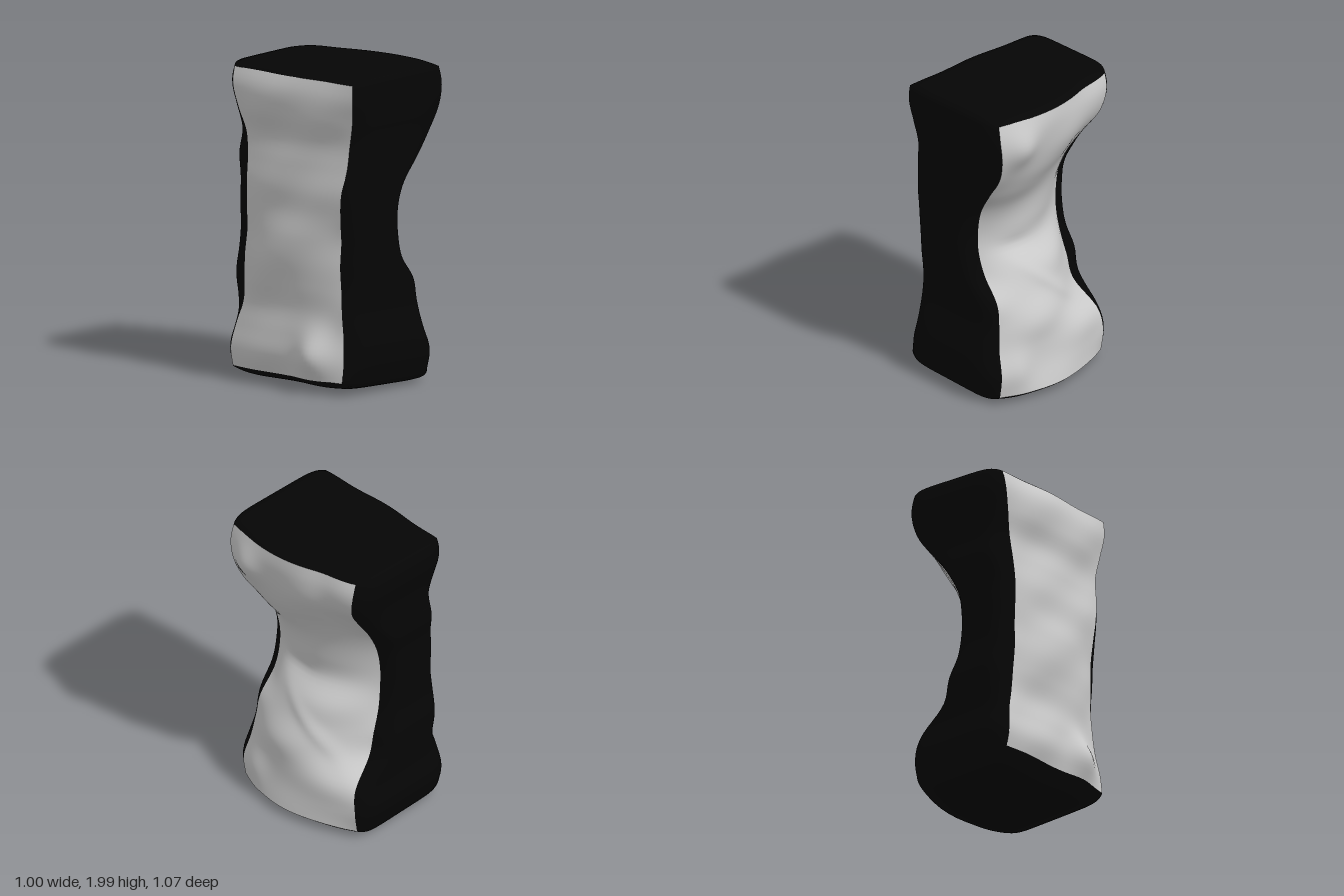
import * as THREE from 'three';
import { mergeVertices } from 'three/addons/utils/BufferGeometryUtils.js';

const NY = 64, NZ = 36;
const { lerp } = THREE.MathUtils;

// Smooth curve through values spaced evenly (0.15) up the height, from y = 0.05
function heightCurve(...values) {
  const ys = values.map((_, i) => 0.05 + i * 0.15);
  const c = new THREE.CubicInterpolant(ys, values, 1);
  return y => c.evaluate(y)[0];
}

// Depth of the side edges, and of the wrap's outermost surface, front and back
const edgeFront = heightCurve(.44, .44, .42, .40, .39, .385, .39, .395, .41, .44, .45, .48, .50, .49);
const edgeBack = heightCurve(-.46, -.46, -.435, -.39, -.38, -.37, -.36, -.36, -.36, -.365, -.385, -.43, -.465, -.47);
const wrapFront = heightCurve(.50, .53, .505, .46, .465, .475, .485, .48, .48, .48, .49, .515, .54, .555);
const wrapBack = heightCurve(-.51, -.54, -.50, -.505, -.515, -.48, -.47, -.47, -.47, -.505, -.49, -.51, -.55, -.545);

// Side outlines at the back, middle and front of each exposed face
const notched = [
  heightCurve(.30, .32, .29, .13, .08, .03, .005, .005, .035, .11, .22, .32, .345, .31),
  heightCurve(.45, .42, .41, .385, .32, .28, .185, .19, .225, .30, .38, .44, .46, .44),
  heightCurve(.36, .375, .335, .315, .285, .17, .12, .12, .165, .27, .37, .42, .43, .40),
];
const flat = [
  heightCurve(-.39, -.42, -.40, -.38, -.385, -.39, -.38, -.385, -.385, -.37, -.36, -.385, -.395, -.355),
  heightCurve(-.42, -.45, -.43, -.41, -.43, -.445, -.44, -.42, -.42, -.40, -.385, -.42, -.42, -.365),
  heightCurve(-.42, -.40, -.375, -.37, -.365, -.37, -.365, -.38, -.39, -.37, -.355, -.365, -.385, -.375),
];

const bump = (y, z, cy, cz, ry, rz, h) => h * Math.exp(-(((y - cy) / ry) ** 2) - ((z - cz) / rz) ** 2);

// Parabola through the three outlines, s from 0 (back) to 1 (front)
function across([b, m, f], y, s) {
  const t = 2 * s - 1;
  return b(y) * t * (t - 1) / 2 + m(y) * (1 - t * t) + f(y) * t * (t + 1) / 2;
}

const zAt = (y, s) => lerp(edgeBack(y), edgeFront(y), s);

// Points on the side faces, v up the height and s from back to front
function rightPoint(v, s) {
  const y = lerp(0.06, 1.95, v), z = zAt(y, s);
  const x = across(notched, y, s)
    + bump(y, z, 1.75, 0.34, 0.12, 0.11, 0.045)
    + bump(y, z, 0.2, 0.32, 0.15, 0.1, 0.025)
    + bump(y, z, 1.8, -0.25, 0.3, 0.12, -0.02)
    + bump(y - 0.76 * z, z, 0.69, -0.1, 0.05, 0.22, 0.015)
    + bump(y, z, 0.95, 0.15, 0.05, 0.12, -0.015)
    + 0.006 * Math.sin(13 * y + 9 * z) * (1 - (2 * s - 1) ** 4);
  return [x, y, z];
}

function leftPoint(v, s) {
  const y = lerp(0.09, 1.94, v), z = zAt(y, s);
  const x = across(flat, y, s)
    + bump(y, z, 0.25, 0.22, 0.14, 0.12, -0.07)
    + 0.007 * Math.sin(12 * y - 11 * z) * (1 - (2 * s - 1) ** 4);
  return [x, y, z];
}

// Smooth grid surface whose front side is du x dv
function gridMesh(name, nu, nv, point, color) {
  const pos = [], index = [];
  for (let j = 0; j <= nv; j++)
    for (let i = 0; i <= nu; i++) pos.push(...point(i / nu, j / nv, j));
  for (let j = 0; j < nv; j++)
    for (let i = 0; i < nu; i++) {
      const a = j * (nu + 1) + i, b = a + 1, d = a + nu + 1, c = d + 1;
      index.push(a, b, c, a, c, d);
    }
  let geo = new THREE.BufferGeometry();
  geo.setAttribute('position', new THREE.Float32BufferAttribute(pos, 3));
  geo.setIndex(index);
  geo = mergeVertices(geo, 1e-5);
  geo.computeVertexNormals();
  const mesh = new THREE.Mesh(geo, new THREE.MeshStandardMaterial({ color }));
  mesh.name = name;
  return mesh;
}

// Points round the wrap: height and depth fractions, and outward swell in y and z
function wrapLoop() {
  const loop = [];
  const corner = q => Math.abs(2 * q - 1) ** 10;
  const swellZ = (v, s) => {
    const y = lerp(0.06, 1.95, v);
    return s > 0.5 ? wrapFront(y) - edgeFront(y) : wrapBack(y) - edgeBack(y);
  };
  const swellY = v => (v > 0.5 ? 0.047 : -0.06);
  const addLevel = (v, s) => {
    const c = corner(s);
    loop.push({ v, s, outY: swellY(v) * (1 - 0.5 * c), outZ: swellZ(v, s) * c * 0.6 });
  };
  const addUpright = (v, s) => {
    const c = corner(v);
    loop.push({ v, s, outY: swellY(v) * c * 0.5, outZ: swellZ(v, s) * (1 - 0.4 * c) });
  };
  for (let i = 0; i < NZ; i++) addLevel(0, i / NZ);
  for (let i = 0; i < NY; i++) addUpright(i / NY, 1);
  for (let i = 0; i < NZ; i++) addLevel(1, 1 - i / NZ);
  for (let i = 0; i < NY; i++) addUpright(1 - i / NY, 0);
  loop.push(loop[0]);
  return loop;
}

export function createModel() {
  const group = new THREE.Group();
  group.name = 'bittenBlock';

  // Exposed side faces, the +x one with a deep notch
  group.add(gridMesh('notchedSide', NY, NZ, (v, s) => rightPoint(v, s), 0xcccccc));
  group.add(gridMesh('flatSide', NZ, NY, (s, v) => leftPoint(v, s), 0xcccccc));

  // Dark wrap over front, back, top and bottom, swelling out from the side edges
  const loop = wrapLoop();
  group.add(gridMesh('darkWrap', 32, loop.length - 1, (u, _, j) => {
    const { v, s, outY, outZ } = loop[j];
    const t = Math.sin((u - 0.5) * Math.PI);
    const swell = 1 - Math.abs(t) ** 7;
    const left = leftPoint(v, s), right = rightPoint(v, s);
    const [x, y, z] = left.map((l, k) => lerp(l, right[k], (t + 1) / 2));
    return [x, y + outY * swell, z + outZ * swell];
  }, 0x050505));

  return group;
}
